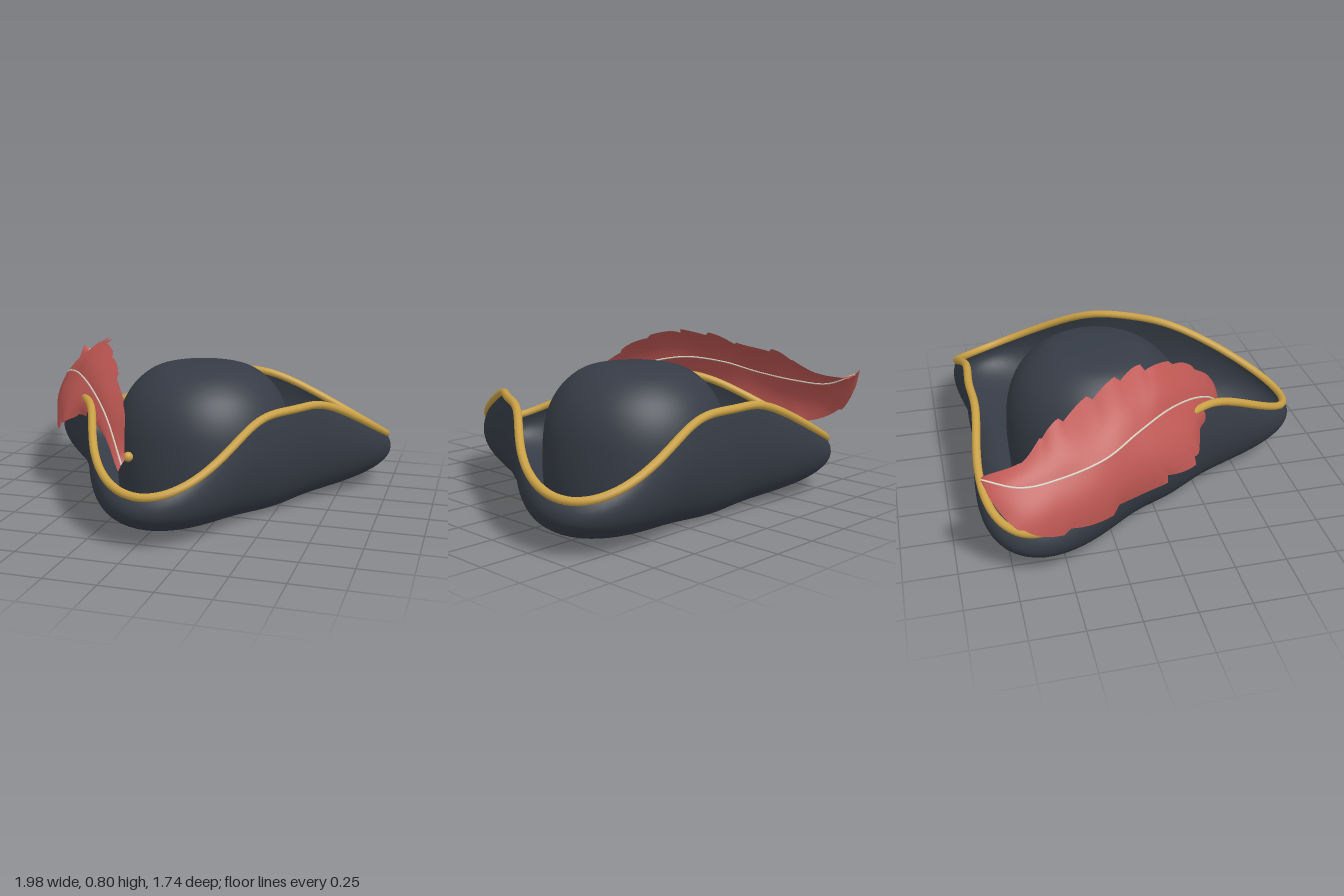
import * as THREE from 'three';

const CX = 0.04, CZ = -0.19; // centre of the crown
const V = (p) => new THREE.Vector3(...p);

function material(name, color, side = THREE.FrontSide) {
  const m = new THREE.MeshStandardMaterial({ color, side });
  m.name = name;
  return m;
}

// Smooth grid surface from a function of row and column
function gridSurface(rows, cols, wrap, point) {
  const pos = [], index = [];
  const width = wrap ? cols : cols + 1;
  for (let i = 0; i <= rows; i++)
    for (let j = 0; j < width; j++) pos.push(...point(i / rows, j / cols, i, j));
  for (let i = 0; i < rows; i++)
    for (let j = 0; j < cols; j++) {
      const k = (j + 1) % width;
      const a = i * width + j, b = i * width + k, c = a + width, d = b + width;
      index.push(a, c, b, b, c, d);
    }
  const g = new THREE.BufferGeometry();
  g.setAttribute('position', new THREE.Float32BufferAttribute(pos, 3));
  g.setIndex(index);
  g.computeVertexNormals();
  return g;
}

// Three-cornered rim: distance from the centre and height at an angle from +z
function rim(phi) {
  const c3 = Math.cos(3 * phi), c6 = Math.cos(6 * phi);
  return {
    r: 0.79 + 0.1925 * c3 + 0.042 * c6,
    h: 0.434 - 0.1425 * c3 - 0.036 * c6,
    corner: (1 + c3) / 2,
  };
}

// Brim section: flat under the head, bulging out, then turned up to the rim
function brimPoint(t, u) {
  const phi = u * Math.PI * 2;
  const { r, h, corner } = rim(phi);
  const s = 1 - t, r0 = 0.45;
  const b = [s * s * s, 3 * s * s * t, 3 * s * t * t, t * t * t];
  const rad = b[0] * r0 + b[1] * (r0 + 0.69 * (r - r0)) + b[2] * (r + 0.06 + 0.07 * corner) + b[3] * r;
  const y = b[2] * 0.4 * h + b[3] * h;
  return [CX + rad * Math.sin(phi), y, CZ + rad * Math.cos(phi)];
}

export function createModel() {
  const group = new THREE.Group();
  const felt = material('charcoal felt', 0x363c46, THREE.DoubleSide);
  const gold = material('gold trim', 0xc9a045);
  const lining = material('brown lining', 0x4a3222);
  const red = material('red feather', 0xbd5753, THREE.DoubleSide);
  const cream = material('pale quill', 0xd8cfc0);
  const add = (name, geometry, mat) => {
    const mesh = new THREE.Mesh(geometry, mat);
    mesh.name = name;
    group.add(mesh);
    return mesh;
  };

  add('brim', gridSurface(24, 144, true, brimPoint), felt);

  // Domed crown
  const dome = new THREE.SplineCurve([
    [0.455, 0.005], [0.465, 0.15], [0.464, 0.28], [0.45, 0.4], [0.415, 0.5], [0.36, 0.58],
    [0.28, 0.645], [0.2, 0.673], [0.1, 0.683], [0, 0.685],
  ].map((p) => new THREE.Vector2(...p))).getPoints(40);
  dome[dome.length - 1].x = 0;
  add('crown', new THREE.LatheGeometry(dome, 64), felt).position.set(CX, 0, CZ);

  // Lining disc inside the head opening
  const disc = add('lining', new THREE.CircleGeometry(0.455, 64), lining);
  disc.rotation.x = Math.PI / 2;
  disc.position.set(CX, 0.012, CZ);

  // Gold cord along the rim
  const cord = [];
  for (let i = 0; i < 72; i++) cord.push(V(brimPoint(1, i / 72)));
  add('rimCord', new THREE.TubeGeometry(new THREE.CatmullRomCurve3(cord, true), 216, 0.02, 10, true), gold);

  // Feather: upper edge, quill and lower edge
  const curve = (pts) => new THREE.CatmullRomCurve3(pts.map(V));
  const upper = curve([
    [-0.18, 0.3, 0.43], [-0.2, 0.52, 0.37], [-0.28, 0.68, 0.23], [-0.4, 0.79, 0.02],
    [-0.47, 0.8, -0.16], [-0.58, 0.74, -0.37], [-0.69, 0.7, -0.54], [-0.79, 0.6, -0.68], [-0.84, 0.58, -0.86],
  ]);
  const quill = curve([
    [-0.19, 0.28, 0.45], [-0.3, 0.48, 0.35], [-0.42, 0.58, 0.22], [-0.57, 0.63, 0.04],
    [-0.7, 0.61, -0.14], [-0.8, 0.56, -0.31], [-0.86, 0.53, -0.52], [-0.89, 0.53, -0.7], [-0.89, 0.6, -0.87],
  ]);
  const lower = curve([
    [-0.2, 0.25, 0.47], [-0.33, 0.42, 0.36], [-0.5, 0.45, 0.22], [-0.65, 0.36, 0.16],
    [-0.72, 0.33, 0.0], [-0.86, 0.28, -0.32], [-0.99, 0.32, -0.62], [-0.97, 0.44, -0.79], [-0.93, 0.62, -0.87],
  ]);
  // Ragged barbs: saw-tooth notches fading out towards the quill
  const notch = (t, n, shift) => 0.13 * Math.sin(Math.PI * t) * ((t * n + shift) % 1) ** 2;
  const vane = (edge, n, shift) => gridSurface(80, 8, false, (t, v) => {
    const q = quill.getPoint(t);
    const e = edge.getPoint(t).sub(q);
    const k = v * (1 - v * notch(t, n, shift));
    const ripple = 0.012 * v * Math.sin(t * 38 + shift * 9) * Math.sin(Math.PI * t);
    const bow = 0.06 * Math.sin(Math.PI * v) * Math.sin(Math.PI * t);
    return [q.x + e.x * k - bow * 0.5 + ripple, q.y + e.y * k, q.z + e.z * k + ripple * 0.5];
  });
  add('featherUpperVane', vane(upper, 11, 0.3), red);
  add('featherLowerVane', vane(lower, 9, 0.6), red);
  add('featherQuill', new THREE.TubeGeometry(quill, 64, 0.005, 6), cream);

  // Gold stud holding the feather
  add('featherStud', new THREE.SphereGeometry(0.025, 16, 12), gold).position.set(-0.185, 0.3, 0.37);

  return group;
}
